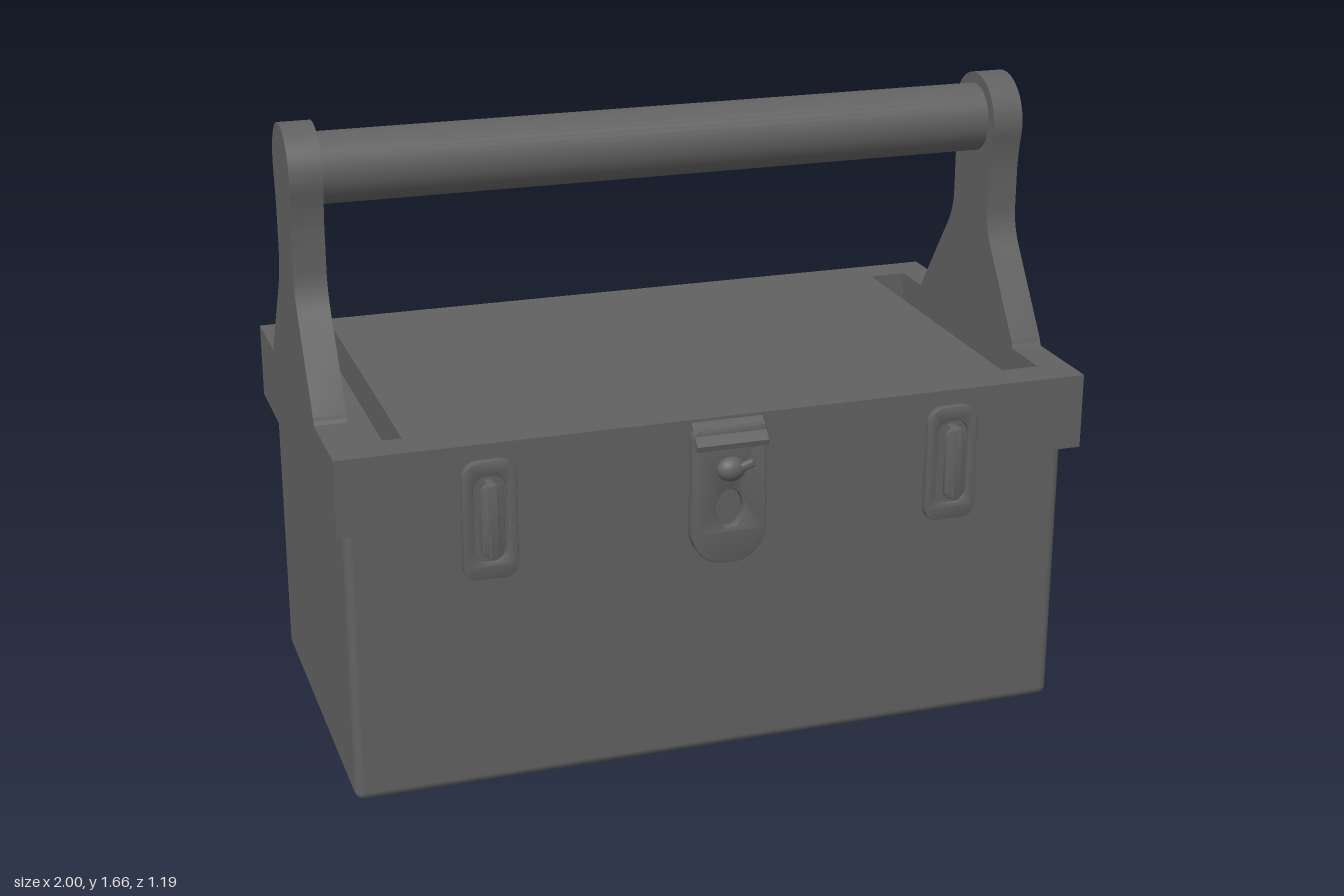
import * as THREE from 'three';
import { RoundedBoxGeometry } from 'three/addons/geometries/RoundedBoxGeometry.js';
import { toCreasedNormals } from 'three/addons/utils/BufferGeometryUtils.js';

const material = new THREE.MeshStandardMaterial({ color: 0x616161 });

function add(parent, name, geometry, x = 0, y = 0, z = 0) {
  const mesh = new THREE.Mesh(geometry, material);
  mesh.name = name;
  mesh.position.set(x, y, z);
  parent.add(mesh);
  return mesh;
}

function extrude(shape, depth, bevel = 0) {
  const geometry = new THREE.ExtrudeGeometry(shape, {
    depth: depth - 2 * bevel, bevelEnabled: bevel > 0, bevelThickness: bevel,
    bevelSize: bevel, bevelOffset: -bevel, bevelSegments: 2, curveSegments: 16,
  });
  geometry.translate(0, 0, bevel);
  return toCreasedNormals(geometry, 0.6);
}

function rect(path, x0, y0, x1, y1) {
  path.moveTo(x0, y0);
  path.lineTo(x1, y0);
  path.lineTo(x1, y1);
  path.lineTo(x0, y1);
  path.closePath();
  return path;
}

// Upright rounded outline: separate corner radii for bottom and top
function plate(path, w, y0, y1, rBottom, rTop) {
  const h = w / 2;
  path.moveTo(-h + rBottom, y0);
  path.lineTo(h - rBottom, y0);
  path.absarc(h - rBottom, y0 + rBottom, rBottom, -Math.PI / 2, 0);
  path.lineTo(h, y1 - rTop);
  path.absarc(h - rTop, y1 - rTop, rTop, 0, Math.PI / 2);
  path.lineTo(-h + rTop, y1);
  path.absarc(-h + rTop, y1 - rTop, rTop, Math.PI / 2, Math.PI);
  path.lineTo(-h, y0 + rBottom);
  path.absarc(-h + rBottom, y0 + rBottom, rBottom, Math.PI, Math.PI * 1.5);
  return path;
}

// Handle support outline: flared foot, narrow neck and round head
function supportShape() {
  const s = new THREE.Shape();
  s.moveTo(-0.33, 0.94);
  s.lineTo(0.33, 0.94);
  s.quadraticCurveTo(0.305, 0.95, 0.295, 0.98);
  s.lineTo(0.14, 1.2);
  s.quadraticCurveTo(0.107, 1.25, 0.107, 1.3);
  s.lineTo(0.107, 1.41);
  s.quadraticCurveTo(0.11, 1.46, 0.122, 1.505);
  s.absarc(0, 1.535, 0.125, -0.24, Math.PI + 0.24);
  s.quadraticCurveTo(-0.11, 1.46, -0.107, 1.41);
  s.lineTo(-0.107, 1.3);
  s.quadraticCurveTo(-0.107, 1.25, -0.14, 1.2);
  s.lineTo(-0.295, 0.98);
  s.quadraticCurveTo(-0.305, 0.95, -0.33, 0.94);
  return s;
}

export function createModel() {
  const root = new THREE.Group();
  root.name = 'toolbox';

  // Box body; its top also forms the floor of the lid recesses
  add(root, 'body', new RoundedBoxGeometry(1.95, 0.86, 0.985, 3, 0.025), 0, 0.43, -0.012);

  // Overhanging lid with a recess at each end
  const lidShape = rect(new THREE.Shape(), -1, -0.53, 1, 0.56);
  for (const s of [-1, 1]) {
    lidShape.holes.push(rect(new THREE.Path(), s * 0.81, -0.43, s * 0.915, 0.46));
  }
  const lid = extrude(lidShape, 0.203);
  lid.rotateX(-Math.PI / 2);
  add(root, 'lid', lid, 0, 0.757, 0);

  // Thin hinge strip on the back
  add(root, 'hingeStrip', new THREE.BoxGeometry(1.16, 0.01, 0.06), 0, 0.81, -0.566);

  // Handle supports and bar
  for (const s of [-1, 1]) {
    const support = extrude(supportShape(), 0.085);
    support.rotateY(Math.PI / 2);
    add(root, s > 0 ? 'leftSupport' : 'rightSupport', support, s > 0 ? 0.915 : -1, 0, -0.026);
  }
  const bar = new THREE.CylinderGeometry(0.0925, 0.0925, 1.86, 40);
  bar.rotateZ(Math.PI / 2);
  add(root, 'handleBar', bar, 0, 1.538, -0.027);

  // Side latches: slotted plate with a raised lever on a narrow stem
  for (const s of [-1, 1]) {
    const latch = new THREE.Group();
    latch.name = s > 0 ? 'leftLatch' : 'rightLatch';
    latch.position.set(s * 0.62, 0, 0.52);
    const base = plate(new THREE.Shape(), 0.14, 0.605, 0.92, 0.035, 0.045);
    base.holes.push(plate(new THREE.Path(), 0.085, 0.65, 0.88, 0.035, 0.035));
    add(latch, 'latchPlate', extrude(base, 0.028, 0.004));
    add(latch, 'latchBack', extrude(plate(new THREE.Shape(), 0.1, 0.64, 0.89, 0.03, 0.03), 0.015));
    add(latch, 'latchStem', extrude(plate(new THREE.Shape(), 0.025, 0.67, 0.87, 0.01, 0.01), 0.062, 0.004));
    add(latch, 'latchLever', extrude(plate(new THREE.Shape(), 0.06, 0.67, 0.87, 0.028, 0.028), 0.014, 0.004), 0, 0, 0.038);
    root.add(latch);
  }

  // Centre clasp: long tongue with an eyelet, sloped cap and turning knob
  const clasp = new THREE.Group();
  clasp.name = 'centreClasp';
  clasp.position.z = 0.52;
  const tongue = plate(new THREE.Shape(), 0.2, 0.57, 0.94, 0.09, 0.02);
  const eyelet = new THREE.Path();
  eyelet.absellipse(0, 0.72, 0.036, 0.052, 0, Math.PI * 2);
  tongue.holes.push(eyelet);
  add(clasp, 'claspTongue', extrude(tongue, 0.042, 0.006));
  add(clasp, 'claspBacking', extrude(plate(new THREE.Shape(), 0.15, 0.62, 0.9, 0.06, 0.02), 0.018));
  const capSide = new THREE.Shape([[0, 0.89], [0.06, 0.89], [0.064, 0.905], [0.012, 0.952], [0, 0.955]]
    .map(([z, y]) => new THREE.Vector2(z, y)));
  const cap = extrude(capSide, 0.19);
  cap.rotateY(-Math.PI / 2);
  add(clasp, 'claspCap', cap, 0.095, 0, 0);
  const knob = new THREE.SphereGeometry(0.038, 20, 14);
  knob.scale(1, 0.85, 0.75);
  add(clasp, 'claspKnob', knob, 0, 0.83, 0.044);
  const thumb = add(clasp, 'claspThumbTurn', new RoundedBoxGeometry(0.06, 0.022, 0.02, 2, 0.008), 0.03, 0.838, 0.056);
  thumb.rotation.z = 0.3;
  root.add(clasp);

  return root;
}
